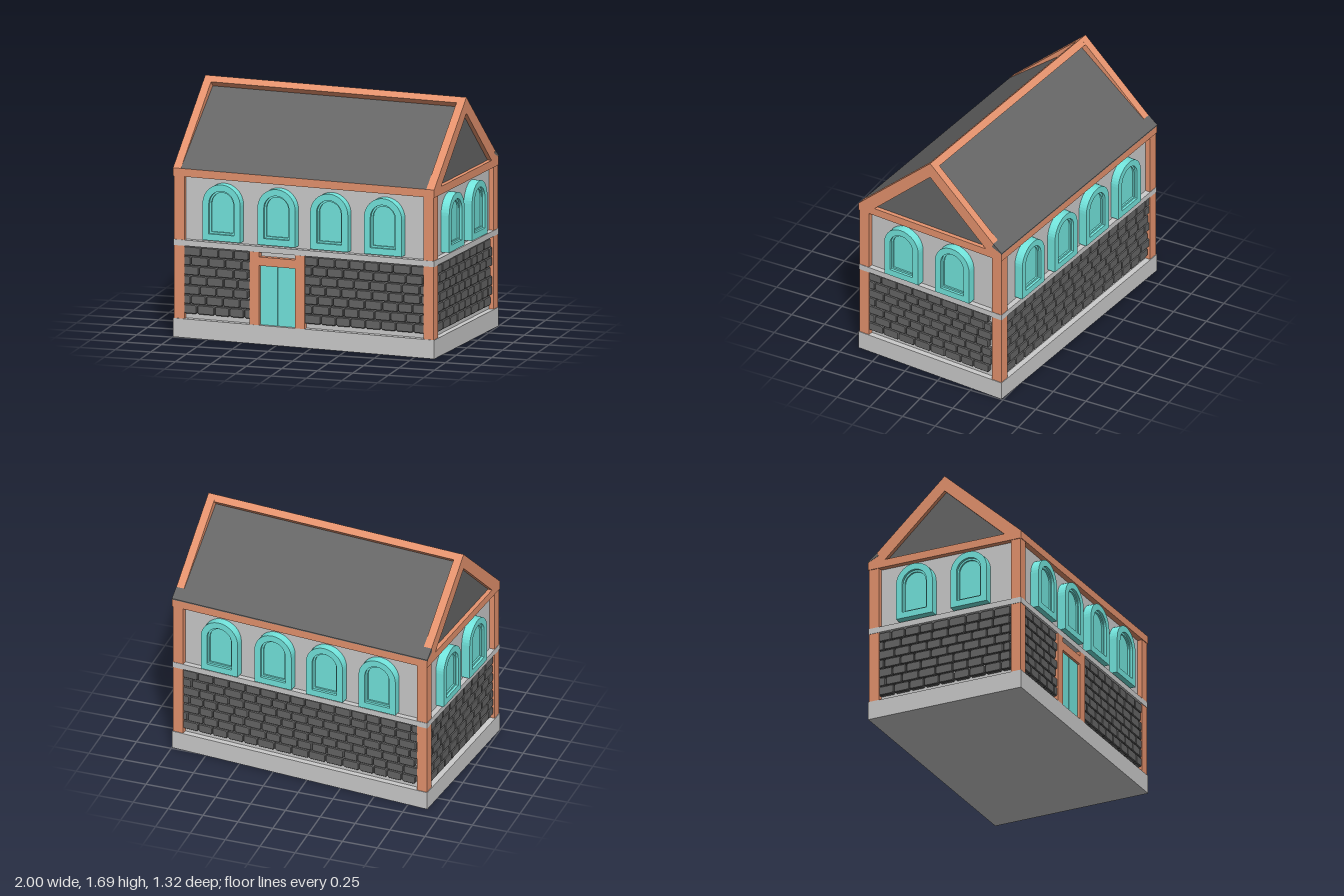
import * as THREE from 'three';
import { mergeGeometries } from 'three/addons/utils/BufferGeometryUtils.js';

const mat = (color) => new THREE.MeshStandardMaterial({ color, flatShading: true });
const HX = 0.95, HZ = 0.577;          // half length and half depth of the base
const BASE = 0.13, EAVE = 1.165, RIDGE = 1.69;

export function createModel() {
  const plaster = mat(0xcccccc), slate = mat(0x666666), timber = mat(0xe6936e), teal = mat(0x73e6de);
  const house = new THREE.Group();
  house.name = 'house';

  const add = (parent, name, geo, material, x = 0, y = 0, z = 0) => {
    const m = new THREE.Mesh(geo, material);
    m.name = name;
    m.position.set(x, y, z);
    parent.add(m);
    return m;
  };
  // Box given by its limits on each axis
  const box = (parent, name, material, x0, x1, y0, y1, z0, z1) =>
    add(parent, name, new THREE.BoxGeometry(x1 - x0, y1 - y0, z1 - z0), material,
      (x0 + x1) / 2, (y0 + y1) / 2, (z0 + z1) / 2);
  const polygon = (pts) => new THREE.Shape(pts.map(([x, y]) => new THREE.Vector2(x, y)));
  // Extrude a (z, y) profile along x between two limits
  const alongX = (parent, name, material, pts, x0, x1) => {
    const shape = polygon(pts.map(([z, y]) => [-z, y]));
    const geo = new THREE.ExtrudeGeometry(shape, { depth: x1 - x0, bevelEnabled: false });
    geo.rotateY(Math.PI / 2);
    return add(parent, name, geo, material, x0);
  };

  // Base, plaster core, string course
  box(house, 'base', plaster, -HX, HX, 0, BASE, -HZ, HZ);
  box(house, 'walls', plaster, -HX + 0.04, HX - 0.04, BASE, EAVE - 0.01, -HZ + 0.04, HZ - 0.04);
  box(house, 'stringCourse', plaster, -HX + 0.002, HX - 0.002, 0.633, 0.673, -HZ + 0.002, HZ - 0.002);

  // Corner posts and eave beams
  for (const sx of [-1, 1]) for (const sz of [-1, 1]) {
    add(house, 'cornerPost', new THREE.BoxGeometry(0.075, 0.99, 0.075), timber,
      sx * (HX - 0.0425), BASE + 0.495, sz * (HZ - 0.0425));
  }
  for (const s of [-1, 1]) {
    add(house, 'eaveBeam', new THREE.BoxGeometry(2 * HX, 0.055, 0.07), timber, 0, EAVE - 0.0275, s * (HZ - 0.035));
    add(house, 'gableTieBeam', new THREE.BoxGeometry(0.07, 0.055, 2 * HZ - 0.14), timber, s * (HX - 0.035), EAVE - 0.0275, 0);
  }

  // Roof body with its recessed slopes and gables, framed by rafters and a ridge beam
  alongX(house, 'roof', slate, [[HZ, EAVE], [HZ - 0.02, EAVE - 0.02], [-HZ + 0.02, EAVE - 0.02],
    [-HZ, EAVE + 0.003], [0, 1.626]], -HX + 0.03, HX - 0.03);
  alongX(house, 'backRoofLip', slate, [[-HZ - 0.002, EAVE], [-HZ - 0.002, EAVE + 0.008],
    [-0.51, 1.227], [-0.5, 1.2]], -HX - 0.001, HX + 0.001);
  const rafters = [[HZ, EAVE], [0.45, EAVE], [0, 1.58], [-0.45, EAVE], [-HZ, EAVE], [0, RIDGE]];
  alongX(house, 'rafters', timber, rafters, HX - 0.057, HX);
  alongX(house, 'rafters', timber, rafters, -HX, -HX + 0.057);
  alongX(house, 'ridgeBeam', timber, [[0, RIDGE], [0.038, 1.655], [0.004, 1.618], [-0.004, 1.618], [-0.038, 1.655]],
    -HX + 0.05, HX - 0.05);

  // Round-headed outline of the window, shrunk by an inset
  const arch = (Type, inset) => {
    const r = 0.137 - inset, p = new Type();
    p.moveTo(-r, inset);
    p.lineTo(r, inset);
    p.lineTo(r, 0.253);
    p.absarc(0, 0.253, r, 0, Math.PI, false);
    p.closePath();
    return p;
  };
  const archRing = (outer, inner, depth) => {
    const s = arch(THREE.Shape, outer);
    if (inner) s.holes.push(arch(THREE.Path, inner));
    return new THREE.ExtrudeGeometry(s, { depth, bevelEnabled: false, curveSegments: 10 });
  };
  const frameGeo = archRing(0, 0.045, 0.07);
  const stepGeo = archRing(0.045, 0.058, 0.052);
  const paneGeo = archRing(0.058, 0, 0.04);

  const addWindow = (wall, x, face) => {
    const w = new THREE.Group();
    w.name = 'window';
    w.position.set(x, 0.69, face - 0.05);
    add(w, 'windowFrame', frameGeo, teal);
    add(w, 'windowStep', stepGeo, teal);
    add(w, 'windowPane', paneGeo, teal);
    wall.add(w);
  };

  // Stone with clipped corners and a chamfered face
  const stone = (w, h) => {
    const a = w / 2 - 0.006, b = h / 2 - 0.006, c = 0.008;
    const s = polygon([[-a + c, -b], [a - c, -b], [a, -b + c], [a, b - c], [a - c, b], [-a + c, b], [-a, b - c], [-a, -b + c]]);
    return new THREE.ExtrudeGeometry(s, { depth: 0.024, bevelThickness: 0.006, bevelSize: 0.005, bevelSegments: 1 });
  };
  let seed = 7;
  const rand = () => (seed = (seed * 16807) % 2147483647) / 2147483647;

  // Seven staggered courses between x0 and x1
  const addStones = (wall, x0, x1, face) => {
    const geos = [], rowH = 0.0665;
    for (let row = 0; row < 7; row++) {
      let x = x0 - (row % 2 ? 0.06 : 0);
      while (x < x1 - 0.03) {
        const next = x + 0.115 + (rand() - 0.5) * 0.03;
        const left = Math.max(x, x0), right = Math.min(next, x1);
        if (right - left > 0.03) {
          const g = stone(right - left, rowH);
          g.translate((left + right) / 2, 0.165 + rowH * (row + 0.5), face - 0.04);
          geos.push(g);
        }
        x = next;
      }
    }
    add(wall, 'stonework', mergeGeometries(geos), slate);
  };

  // One wall face: outward is the group's +z
  const addWall = (name, turn, half, face, windows, stoneSpans) => {
    const wall = new THREE.Group();
    wall.name = name;
    wall.rotation.y = turn;
    windows.forEach((x) => addWindow(wall, x, face));
    stoneSpans.forEach(([a, b]) => addStones(wall, a, b, face));
    house.add(wall);
    return wall;
  };
  const longWindows = [-0.59, -0.19, 0.193, 0.585], sideWindows = [-0.22, 0.19];
  const DOOR = -0.194;
  const front = addWall('frontWall', 0, HX, HZ, longWindows, [[-0.88, DOOR - 0.19], [DOOR + 0.19, 0.88]]);
  addWall('backWall', Math.PI, HX, HZ, longWindows, [[-0.88, 0.88]]);
  addWall('leftWall', Math.PI / 2, HZ, HX, sideWindows, [[-0.51, 0.49]]);
  addWall('rightWall', -Math.PI / 2, HZ, HX, sideWindows, [[-0.51, 0.49]]);

  // Door with two planks, cross rails and a timber frame
  const door = new THREE.Group();
  door.name = 'door';
  door.position.set(DOOR, 0, HZ);
  front.add(door);
  box(door, 'doorBack', teal, -0.13, 0.13, BASE, 0.54, -0.05, -0.028);
  for (const s of [-1, 1]) {
    add(door, 'doorPlank', new THREE.BoxGeometry(0.125, 0.408, 0.02), teal, s * 0.066, BASE + 0.205, -0.03);
    add(door, 'doorPost', new THREE.BoxGeometry(0.07, 0.503, 0.06), timber, s * 0.165, BASE + 0.2515, -0.031);
  }
  box(door, 'doorLintel', timber, -0.13, 0.13, 0.54, 0.6, -0.06, -0.003);

  // The whole house stands slightly turned
  house.rotation.y = -0.091;
  const model = new THREE.Group();
  model.name = 'model';
  model.add(house);
  return model;
}
